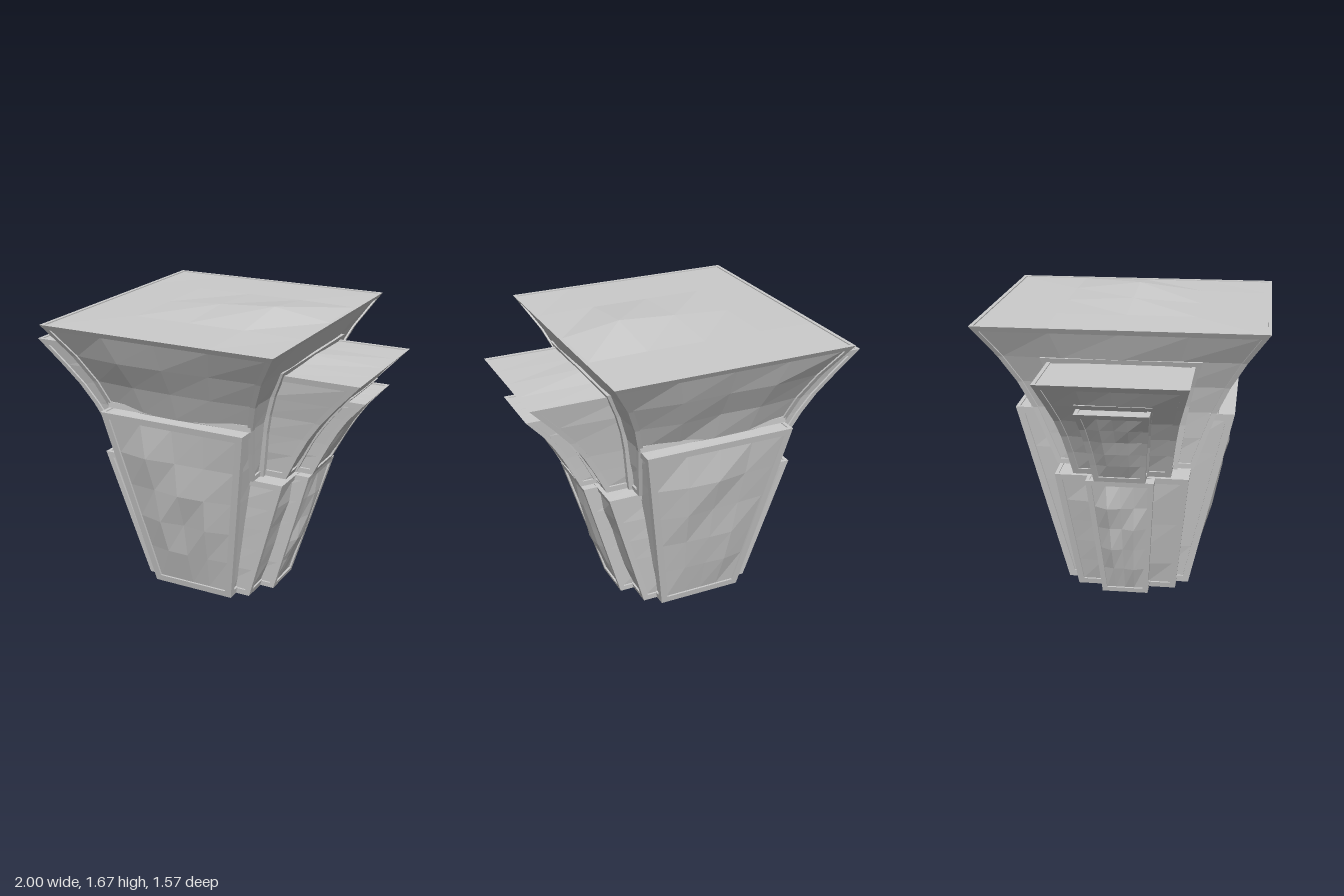
import * as THREE from 'three';

const material = new THREE.MeshStandardMaterial({ color: 0xcccccc, flatShading: true, side: THREE.DoubleSide });

// Small seeded generator for the faceted panels
function seeded(seed) {
  return () => {
    seed = (seed * 16807) % 2147483647;
    return seed / 2147483647;
  };
}

function meshFromQuads(name, quads) {
  const pos = [];
  for (const [a, b, c, d] of quads) for (const p of [a, b, c, a, c, d]) pos.push(...p);
  const geo = new THREE.BufferGeometry();
  geo.setAttribute('position', new THREE.Float32BufferAttribute(pos, 3));
  geo.computeVertexNormals();
  const mesh = new THREE.Mesh(geo, material);
  mesh.name = name;
  return mesh;
}

// Half sizes of a tier at height y; levels are [y, halfX, halfZ] from bottom to top
function halfSizes(levels, y) {
  let i = 0;
  while (i < levels.length - 2 && y > levels[i + 1][0]) i++;
  const [a, b] = [levels[i], levels[i + 1]];
  const t = (y - a[0]) / (b[0] - a[0]);
  return [a[1] + (b[1] - a[1]) * t, a[2] + (b[2] - a[2]) * t];
}

// Turns a border and an even inner division into positions along -1..1
const columns = (half, w, n) => {
  const inner = 1 - w / half;
  const list = [-1];
  for (let i = 0; i <= n; i++) list.push(-inner + (2 * inner * i) / n);
  return [...list, 1];
};

// A bordered grid: flat border, a step inwards, and a panel set back inside it.
// point(i, j, offset) gives a position; relief(i, j) the panel's offset
function borderedQuads(nu, nv, point, relief, depth) {
  const frame = [], panel = [];
  const cell = (i, j, f) => [f(i, j), f(i + 1, j), f(i + 1, j + 1), f(i, j + 1)];
  const flat = (i, j) => point(i, j, 0);
  const sunk = (i, j) => point(i, j, i === 1 || j === 1 || i === nu + 1 || j === nv + 1 ? -depth : relief(i, j));
  for (let i = 0; i < nu + 2; i++) {
    for (let j = 0; j < nv + 2; j++) {
      const onBorder = i === 0 || j === 0 || i === nu + 1 || j === nv + 1;
      (onBorder ? frame : panel).push(cell(i, j, onBorder ? flat : sunk));
    }
  }
  const lip = (i, j, k, l) => frame.push([flat(i, j), flat(k, l), point(k, l, -depth), point(i, j, -depth)]);
  for (let i = 1; i <= nu; i++) {
    lip(i, 1, i + 1, 1);
    lip(i + 1, nv + 1, i, nv + 1);
  }
  for (let j = 1; j <= nv; j++) {
    lip(1, j + 1, 1, j);
    lip(nu + 1, j, nu + 1, j + 1);
  }
  return { frame, panel };
}

// One of four sides of a tier; the panel swells most in its upper middle
function sideQuads(levels, side, w, bulge, random) {
  const nu = 4, nv = 5;
  const y0 = levels[0][0], y1 = levels[levels.length - 1][0];
  const rows = [y0];
  for (let j = 0; j <= nv; j++) rows.push(y0 + w + ((y1 - y0 - 2 * w) * j) / nv);
  rows.push(y1);
  const across = side % 2;
  const point = (i, j, off) => {
    const [hx, hz] = halfSizes(levels, rows[j]);
    const half = across ? hz : hx;
    const u = columns(half, w, nu)[i] * half;
    const out = (across ? hx : hz) + off;
    return [[u, rows[j], out], [out, rows[j], -u], [-u, rows[j], -out], [-out, rows[j], u]][side];
  };
  const noise = Array.from({ length: 64 }, random);
  const swell = [0, 0, 0.35, 0.7, 0.9, 1, 0];
  const relief = (i, j) => bulge * swell[j] * (noise[i * 8 + j] * 1.1 - 0.1);
  return borderedQuads(nu, nv, point, relief, 0.012);
}

// Horizontal closing face, dir = 1 for the top and -1 for the underside
function capQuads([y, hx, hz], dir, w, peak, depth) {
  const n = 4;
  const xs = columns(hx, w, n), zs = columns(hz, w, n);
  const point = (i, j, off) => [xs[i] * hx, y + dir * off, -dir * zs[j] * hz];
  const relief = (i, j) => peak * Math.max(0, 1 - Math.max(Math.abs(i - 4) / 2, Math.abs(j - 3)));
  return borderedQuads(n, n, point, relief, depth);
}

// A complete flaring tier: four framed sides, a panelled top and an open framed underside.
// bulgeZ swells the front and back panels, bulgeX the left and right ones
function tier(name, levels, { w = 0.035, bulgeZ = 0.004, bulgeX = 0.004, peak = 0.008, seed = 1 } = {}) {
  const random = seeded(seed * 7919);
  const group = new THREE.Group();
  group.name = name;
  const parts = [0, 1, 2, 3].map((s) => sideQuads(levels, s, w, s % 2 ? bulgeX : bulgeZ, random));
  parts.push(capQuads(levels[levels.length - 1], 1, 0.02, peak, 0.006));
  const underside = capQuads(levels[0], -1, 0.035, 0, 0.03);
  group.add(meshFromQuads(name + 'Frame', [...parts.flatMap((p) => p.frame), ...underside.frame]));
  group.add(meshFromQuads(name + 'Panels', parts.flatMap((p) => p.panel)));
  return group;
}

export function createModel() {
  const model = new THREE.Group();
  model.name = 'flaredTower';

  // Central tower: tall base and flaring crown
  model.add(tier('towerBase', [[0, 0.25, 0.355], [1.12, 0.44, 0.605]], { w: 0.04, bulgeZ: 0.035, seed: 3 }));
  model.add(tier('towerCrown', [
    [0.78, 0.4, 0.385], [1.12, 0.45, 0.505], [1.3, 0.505, 0.585], [1.46, 0.58, 0.675], [1.63, 0.69, 0.783],
  ], { w: 0.03, bulgeZ: 0.025, bulgeX: 0.015, peak: 0.045, seed: 5 }));

  // Sills closing the crown's front and back openings
  for (const s of [1, -1]) {
    const sill = new THREE.Mesh(new THREE.BoxGeometry(0.89, 0.035, 0.03), material);
    sill.name = 'crownSill';
    sill.position.set(0, 1.137, s * 0.502);
    model.add(sill);
  }

  // Collar where the wings meet the crown
  model.add(tier('wingCollar', [
    [0.78, 0.42, 0.295], [1.12, 0.467, 0.35], [1.3, 0.525, 0.39], [1.445, 0.59, 0.432],
  ], { seed: 7 }));

  // Wings reaching out to both sides: lower and upper stage
  model.add(tier('wingBase', [[0, 0.335, 0.285], [0.78, 0.57, 0.37]], { bulgeZ: 0.01, bulgeX: 0.01, seed: 11 }));
  model.add(tier('wingCrown', [
    [0.78, 0.545, 0.27], [1.0, 0.655, 0.3], [1.14, 0.75, 0.325], [1.28, 0.87, 0.36], [1.42, 1, 0.396],
  ], { bulgeZ: 0.01, bulgeX: 0.01, peak: 0.012, seed: 13 }));

  // Collar where the buttresses meet the wings
  model.add(tier('buttressCollar', [
    [0.78, 0.555, 0.147], [1.0, 0.667, 0.168], [1.14, 0.762, 0.183], [1.285, 0.888, 0.202],
  ], { w: 0.03, seed: 23 }));

  // Narrow outermost buttresses: lower and upper stage
  model.add(tier('buttressBase', [[0, 0.42, 0.132], [0.78, 0.65, 0.187]], { w: 0.03, bulgeZ: 0.01, bulgeX: 0.035, seed: 17 }));
  model.add(tier('buttressCrown', [
    [0.78, 0.65, 0.14], [0.95, 0.735, 0.155], [1.12, 0.835, 0.175], [1.26, 0.96, 0.193],
  ], { w: 0.03, bulgeX: 0.015, seed: 19 }));

  return model;
}
